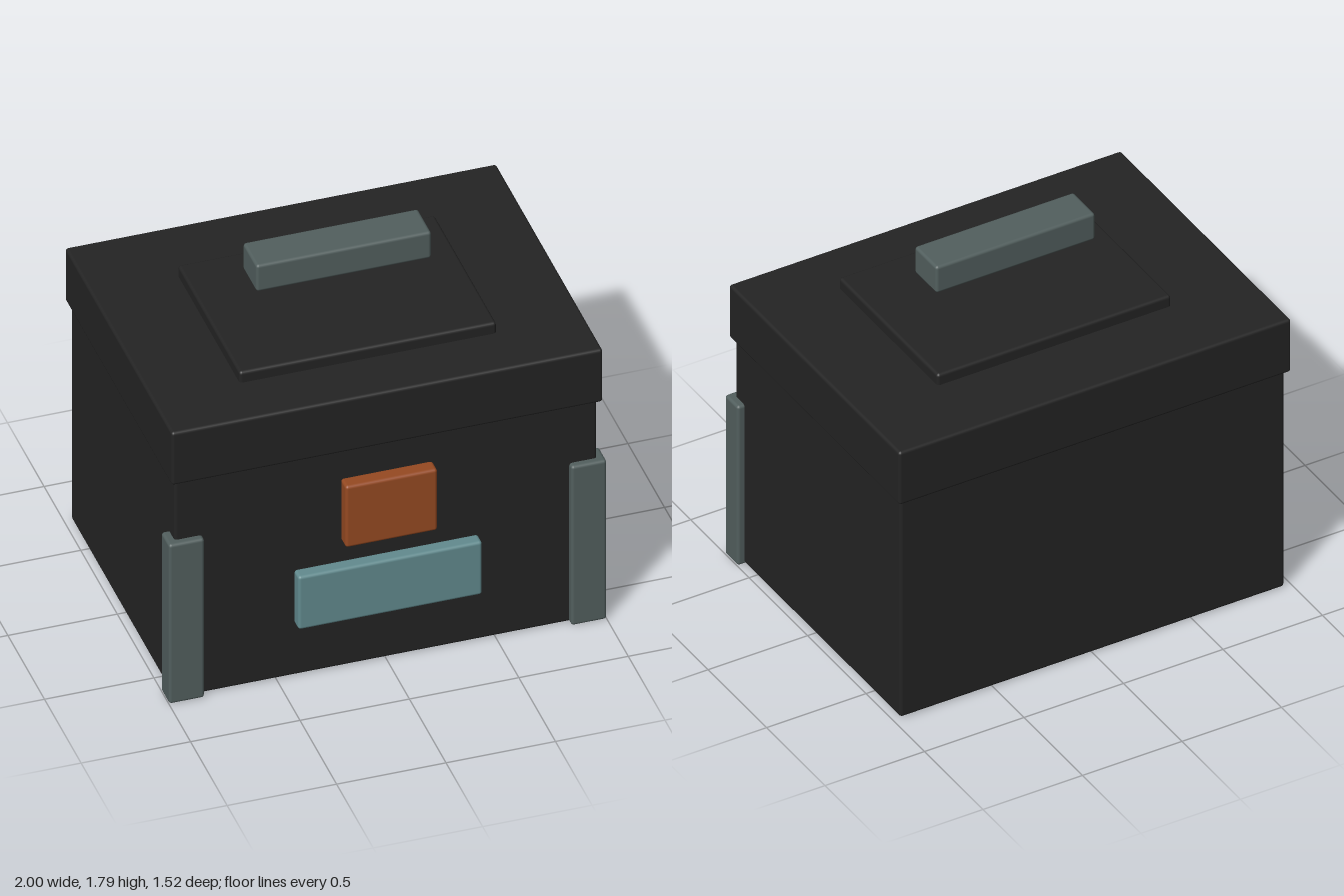
import * as THREE from 'three';
import { RoundedBoxGeometry } from 'three/addons/geometries/RoundedBoxGeometry.js';

const material = (name, color) => {
  const m = new THREE.MeshStandardMaterial({ color });
  m.name = name;
  return m;
};

export function createModel() {
  const group = new THREE.Group();
  group.name = 'lidded box';
  const black = material('charcoal', 0x242424);
  const grey = material('slate grey', 0x525f5e);
  const orange = material('burnt orange', 0x964a22);
  const teal = material('dusty teal', 0x628b8f);

  // Softly bevelled block given by its extents on each axis
  const block = (name, mat, [x0, x1], [y0, y1], [z0, z1], radius = 0.014) => {
    const geometry = new RoundedBoxGeometry(x1 - x0, y1 - y0, z1 - z0, 2, radius);
    const mesh = new THREE.Mesh(geometry, mat);
    mesh.name = name;
    mesh.position.set((x0 + x1) / 2, (y0 + y1) / 2, (z0 + z1) / 2);
    group.add(mesh);
  };

  // Case and overhanging lid
  block('body', black, [-0.965, 0.965], [0.003, 1.18], [-0.735, 0.677]);
  block('lid', black, [-0.985, 0.985], [1.155, 1.435], [-0.76, 0.7]);
  block('lidPanel', black, [-0.587, 0.587], [1.42, 1.49], [-0.41, 0.437]);

  // Handle bar hovering over the lid
  block('handle', grey, [-0.4, 0.4], [1.652, 1.792], [-0.08, 0.108]);

  // Front latch and name plate
  block('latch', orange, [-0.21, 0.21], [0.687, 1.013], [0.685, 0.76]);
  block('frontPlate', teal, [-0.42, 0.42], [0.285, 0.567], [0.675, 0.742]);

  // Front corner guards
  block('leftCornerGuard', grey, [0.838, 1], [0, 0.847], [0.597, 0.71]);
  block('rightCornerGuard', grey, [-1, -0.838], [0, 0.847], [0.597, 0.71]);

  return group;
}
